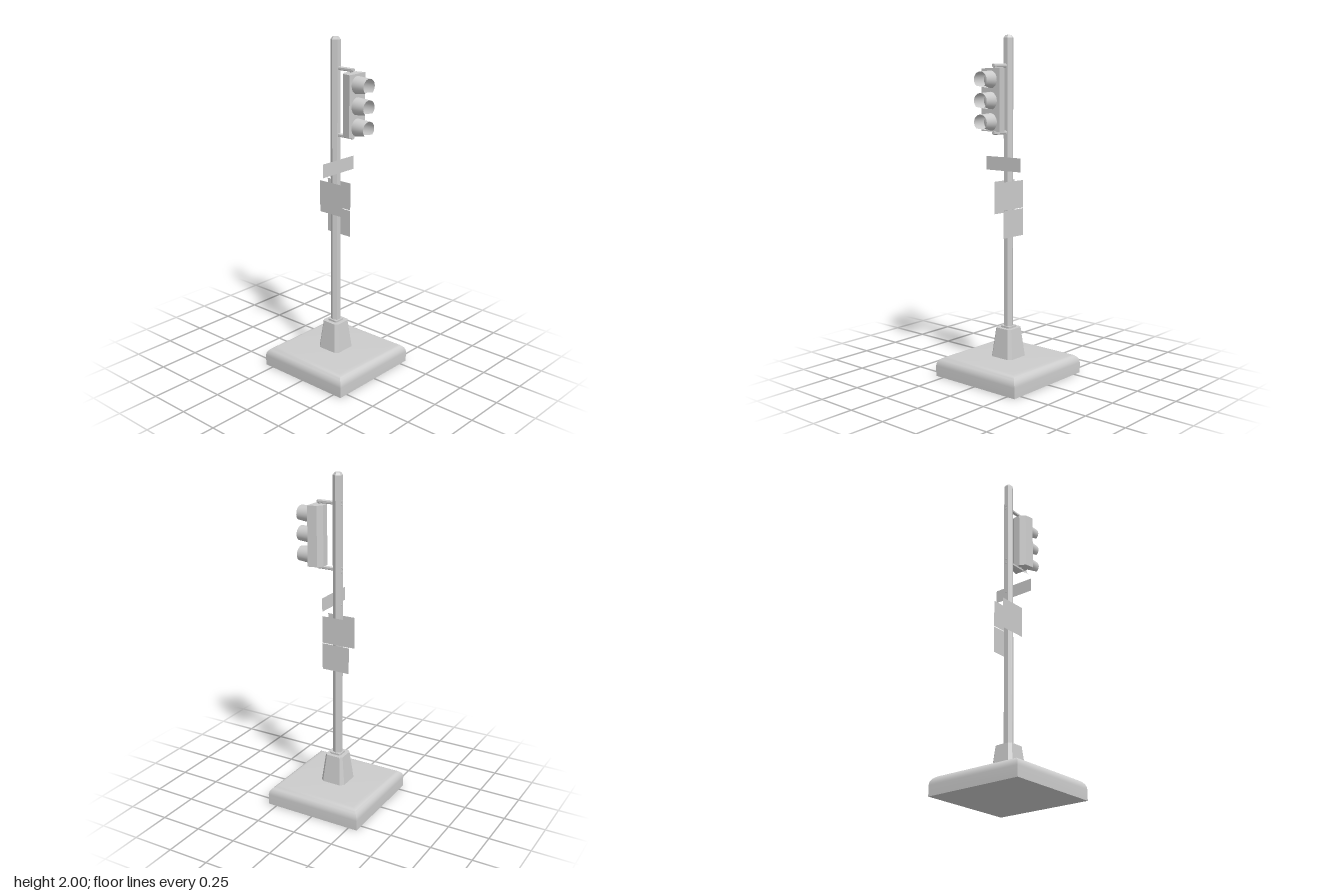
import * as THREE from 'three';
import { toCreasedNormals } from 'three/addons/utils/BufferGeometryUtils.js';
import { ParametricGeometry } from 'three/addons/geometries/ParametricGeometry.js';

const grey = new THREE.MeshStandardMaterial({ color: 0xcccccc });
const thin = new THREE.MeshStandardMaterial({ color: 0xcccccc, side: THREE.DoubleSide });
const PX = -0.002, PZ = -0.003; // pole axis

// Prism standing on y = 0 from an outline of [x, z] points; the top can be scaled in.
function prism(outline, height, topScale = 1) {
  const shape = new THREE.Shape(outline.map(([x, z]) => new THREE.Vector2(x, -z)));
  const geo = new THREE.ExtrudeGeometry(shape, { depth: height, bevelEnabled: false }).rotateX(-Math.PI / 2);
  const p = geo.attributes.position;
  for (let i = 0; i < p.count; i++) {
    const s = p.getY(i) > height / 2 ? topScale : 1;
    p.setXYZ(i, p.getX(i) * s, p.getY(i), p.getZ(i) * s);
  }
  geo.computeVertexNormals();
  return geo;
}

// Square outline with cut corners
function cutSquare(h, c) {
  const k = h - c;
  return [[h, k], [k, h], [-k, h], [-h, k], [-h, -k], [-k, -h], [k, -h], [h, -k]];
}

// Profile of [radius, y] points swept round a few sides
function sweep(profile, sides, phi, crease) {
  const pts = profile.map(([r, y]) => new THREE.Vector2(r, y));
  return toCreasedNormals(new THREE.LatheGeometry(pts, sides, phi), crease);
}

export function createModel() {
  const model = new THREE.Group();
  const add = (name, geo, x = 0, y = 0, z = 0, mat = grey, parent = model) => {
    const m = new THREE.Mesh(geo, mat);
    m.name = name;
    m.position.set(x, y, z);
    parent.add(m);
    return m;
  };

  // Square base slab with a rounded upper edge
  const slab = [[0, 0], [0.305, 0], [0.305, 0.062]];
  for (let i = 1; i <= 8; i++) {
    const a = (i / 8) * Math.PI / 2;
    slab.push([0.25 + 0.055 * Math.cos(a), 0.062 + 0.054 * Math.sin(a)]);
  }
  slab.push([0, 0.116]);
  add('base', sweep(slab.map(([r, y]) => [r * Math.SQRT2, y]), 4, Math.PI / 4, 0.7));

  // Tapered pedestal and collar
  add('pedestal', prism(cutSquare(0.079, 0.02), 0.178, 0.73), PX, 0.113, PZ);
  add('collar', prism(cutSquare(0.034, 0.006), 0.012), PX, 0.29, PZ);

  // Six-sided pole with a bevelled tip
  add('pole', sweep([[0.029, 0.29], [0.029, 1.985], [0.018, 2], [0, 2]], 6, Math.PI / 2, 0.3), PX, 0, PZ);

  // Signal head: housing, three lenses and hooded visors
  const signal = new THREE.Group();
  signal.name = 'signalHead';
  model.add(signal);
  const half = [[0.022, 0.078], [0.056, 0.1], [0.067, 0.155]];
  const outline = [...half, ...half.map(([x, z]) => [-x, z]).reverse()];
  add('housing', prism(outline, 0.352), 0, 1.46, 0, grey, signal);

  const visorGeo = new ParametricGeometry((u, v, out) => {
    const gap = 0.3 + 0.4 * v;
    const a = gap + u * (2 * Math.PI - 2 * gap);
    out.set(0.048 * Math.sin(a), -(0.05 - 0.006 * v) * Math.cos(a), 0.085 * v);
  }, 24, 4);
  const lensGeo = new THREE.SphereGeometry(0.047, 24, 8, 0, Math.PI * 2, 0, Math.PI / 2)
    .rotateX(Math.PI / 2).scale(1, 1, 0.3);
  for (const y of [1.75, 1.632, 1.513]) {
    add('visor', visorGeo, 0, y, 0.154, thin, signal);
    add('lens', lensGeo, 0, y, 0.155, grey, signal);
  }

  // Bracket arms above and below the head, with short pins and pole clamps
  const armGeo = new THREE.CylinderGeometry(0.011, 0.011, 0.13, 6).toNonIndexed().rotateX(Math.PI / 2);
  armGeo.computeVertexNormals();
  const pinGeo = new THREE.CylinderGeometry(0.008, 0.008, 0.03, 8);
  for (const [y, pinY] of [[1.828, 1.815], [1.449, 1.46]]) {
    add('bracketArm', armGeo, PX, y, 0.064);
    add('bracketPin', pinGeo, PX, pinY, 0.112);
  }
  const boltGeo = new THREE.CylinderGeometry(0.006, 0.006, 0.008, 8).rotateX(Math.PI / 2);
  for (const y of [1.84, 1.82, 1.46, 1.435, 1.24]) add('clampBolt', boltGeo, PX, y, -0.029);

  // Thin sign plates: one facing front, two on the left, one on the right
  add('frontSign', new THREE.PlaneGeometry(0.263, 0.08), -0.014, 1.265, 0.03, thin);
  const sideSign = (name, x, y0, y1) => {
    const geo = new THREE.PlaneGeometry(0.176, y1 - y0).rotateY(Math.sign(x) * Math.PI / 2);
    add(name, geo, x, (y0 + y1) / 2, -0.007, thin);
  };
  sideSign('leftUpperSign', 0.031, 1.002, 1.165);
  sideSign('leftLowerSign', 0.031, 0.838, 0.998);
  sideSign('rightSign', -0.035, 0.975, 1.165);

  return model;
}
